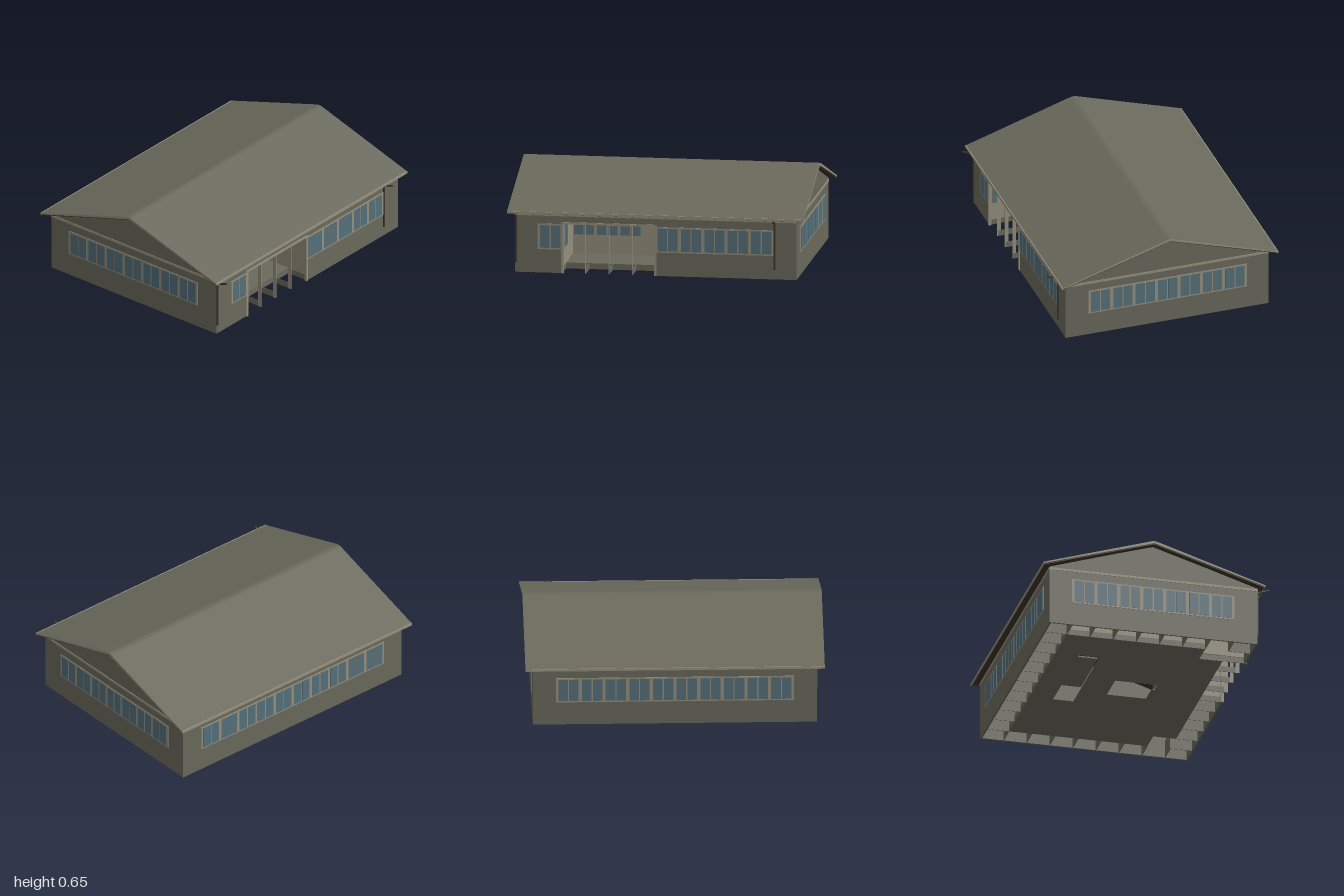
import * as THREE from 'three';

const mat = (name, color) => {
  const m = new THREE.MeshStandardMaterial({ color });
  m.name = name;
  return m;
};

export function createModel() {
  const wall = mat('olive wall', 0x6a695c);
  const trim = mat('beige trim', 0x958f7c);
  const glass = mat('blue grey glass', 0x56707a);
  const brown = mat('dark brown', 0x3d3426);

  const model = new THREE.Group();
  model.name = 'building';
  const M = 0.158; // frame spacing
  const XW = 0.95, ZF = 0.7, ZB = -0.73;

  const add = (name, geometry, material, parent = model) => {
    const mesh = new THREE.Mesh(geometry, material);
    mesh.name = name;
    parent.add(mesh);
    return mesh;
  };
  // Box given by its limits on each axis
  const box = (name, material, [x0, x1], [y0, y1], [z0, z1], parent) => {
    const mesh = add(name, new THREE.BoxGeometry(x1 - x0, y1 - y0, z1 - z0), material, parent);
    mesh.position.set((x0 + x1) / 2, (y0 + y1) / 2, (z0 + z1) / 2);
    return mesh;
  };
  const vec = (pts) => pts.map(([a, b]) => new THREE.Vector2(a, b));

  // Cross-section of (z, y) points extruded along x
  const alongX = (name, pts, x0, x1, materials) => {
    const g = new THREE.ExtrudeGeometry(new THREE.Shape(vec(pts.map(([z, y]) => [-z, y]))),
      { depth: x1 - x0, bevelEnabled: false });
    g.rotateY(Math.PI / 2).translate(x0, 0, 0);
    return add(name, g, materials);
  };
  // Plan of (x, z) points extruded upwards
  const upward = (name, pts, holes, y0, y1, materials) => {
    const flip = (list) => vec(list.map(([x, z]) => [x, -z]));
    const shape = new THREE.Shape(flip(pts));
    holes.forEach((h) => shape.holes.push(new THREE.Path(flip(h))));
    const g = new THREE.ExtrudeGeometry(shape, { depth: y1 - y0, bevelEnabled: false });
    g.rotateX(-Math.PI / 2).translate(0, y0, 0);
    return add(name, g, materials);
  };

  // Gable end walls
  const gable = [[ZF, 0], [ZF, 0.41], [-0.02, 0.637], [ZB, 0.41], [ZB, 0]];
  alongX('rightGableWall', gable, -XW, -XW + 0.012, wall);
  alongX('leftGableWall', gable, XW - 0.012, XW, wall);

  // Long walls, the front one open at the porch
  box('backWall', wall, [-XW, XW], [0, 0.41], [ZB, ZB + 0.012]);
  const frontZ = [ZF - 0.012, ZF];
  box('frontWallRightPart', wall, [-XW, -0.635], [0, 0.41], frontZ);
  box('frontWallLeftPart', wall, [0, XW], [0, 0.41], frontZ);
  box('porchLintel', wall, [-0.635, 0], [0.345, 0.41], frontZ);

  // Trim band at the wall head
  box('frontTrimBand', trim, [-XW, XW], [0.388, 0.404], [ZF, ZF + 0.005]);
  box('backTrimBand', trim, [-XW, XW], [0.388, 0.404], [ZB - 0.005, ZB]);
  for (const s of [-1, 1]) {
    const x = s * XW;
    box('gableTrimBand', trim, [Math.min(x, x + s * 0.004), Math.max(x, x + s * 0.004)],
      [0.388, 0.404], [ZB, ZF]);
  }

  // Roof slab with pale rake edges and a dark underside
  alongX('roof', [[0.74, 0.408], [0.74, 0.418], [0, 0.652], [-0.02, 0.655], [-0.04, 0.652],
    [-0.78, 0.418], [-0.78, 0.408], [-0.02, 0.64]], -1, 1, [trim, wall]);
  alongX('roofUnderside', [[0.735, 0.402], [0.735, 0.407], [-0.02, 0.639], [-0.775, 0.407],
    [-0.775, 0.402], [-0.02, 0.634]], -0.995, 0.995, brown);
  box('frontFascia', trim, [-1, 1], [0.404, 0.42], [0.736, 0.743]);
  box('backFascia', trim, [-1, 1], [0.404, 0.42], [-0.783, -0.776]);

  // Row of two-pane windows in a pale frame, facing +z before it is turned
  const windowRow = (name, count, x, z, turn, cy = 0.247) => {
    const row = new THREE.Group();
    row.name = name;
    const w = count * M;
    box('windowFrame', trim, [-w / 2 - 0.006, w / 2 + 0.006], [-0.087, 0.087], [-0.001, 0.004], row);
    for (let i = 0; i < count; i++) {
      const c = -w / 2 + (i + 0.5) * M;
      for (const s of [-1, 1]) {
        box('windowPane', glass, [c + s * 0.036 - 0.032, c + s * 0.036 + 0.032],
          [-0.077, 0.077], [0.001, 0.006], row);
      }
    }
    row.position.set(x, cy, z);
    row.rotation.y = turn;
    model.add(row);
  };
  windowRow('frontWindowsRight', 1, -0.713, ZF, 0);
  windowRow('frontWindowsLeft', 5, 0.396, ZF, 0);
  windowRow('backWindows', 10, 0, ZB, Math.PI);
  windowRow('leftWindows', 7, XW, -0.018, Math.PI / 2);
  windowRow('rightWindows', 7, -XW, -0.018, -Math.PI / 2);

  // Floor slab inset by one module, with notched front corners and two shafts
  const X1 = 0.79, X2 = 0.632, Z1 = 0.54, Z2 = 0.382, ZR = -0.572;
  const shaft = [[-0.16, -0.08], [0.15, -0.08], [0.15, 0.21], [-0.16, 0.21]];
  const corridor = [[-0.49, -0.41], [0.31, -0.41], [0.31, -0.25], [-0.49, -0.25]];
  upward('floorSlab', [[-X1, ZR], [X1, ZR], [X1, Z2], [X2, Z2], [X2, Z1], [-X2, Z1], [-X2, Z2], [-X1, Z2]],
    [shaft, corridor], 0, 0.04, [wall, wall]);
  // Inner rooms around the recessed porch
  const porchBack = 0.22;
  upward('innerRooms', [[-X1, ZR], [X1, ZR], [X1, Z2], [X2, Z2], [X2, Z1], [0, Z1], [0, porchBack],
    [-X2, porchBack], [-X2, Z2], [-X1, Z2]], [shaft, corridor], 0.04, 0.39, [wall, trim]);
  box('corridorCeiling', wall, [-0.36, 0.1], [0.05, 0.06], [-0.41, -0.25]);

  // Porch: rear windows, door, side walls and opening frame
  windowRow('porchWindows', 3, -0.4, porchBack, 0);
  box('porchDoor', trim, [-0.158, -0.012], [0.04, 0.335], [porchBack, porchBack + 0.009]);
  windowRow('porchSideWindow', 1, -0.625, 0.61, Math.PI / 2);
  box('porchSideWall', trim, [0, 0.008], [0.04, 0.39], [Z1, ZF - 0.012]);
  box('porchSideWall', trim, [-0.64, -0.628], [0.04, 0.39], [Z2, ZF - 0.012]);
  box('porchCeiling', wall, [-0.635, 0], [0.375, 0.385], [porchBack, ZF - 0.012]);
  const frameZ = [ZF - 0.014, ZF + 0.006];
  box('porchFrameSide', trim, [-0.64, -0.622], [0, 0.345], frameZ);
  box('porchFrameSide', trim, [-0.012, 0.004], [0, 0.345], frameZ);
  box('porchFrameTop', trim, [-0.64, 0.004], [0.333, 0.348], frameZ);
  for (let i = 1; i < 4; i++) {
    const x = -0.635 + i * M;
    box('porchPost', trim, [x - 0.002, x + 0.002], [0, 0.345], [ZF - 0.03, ZF - 0.004]);
  }

  // Thin joists across the open strip around the floor, low under the porch
  for (let i = 1; i < 12; i++) {
    const x = -XW + i * XW / 6;
    const inPorch = x > -0.64 && x < 0;
    box('frontJoist', wall, [x - 0.002, x + 0.002], [0, inPorch ? 0.04 : 0.12], [Z1, ZF - 0.012]);
    box('backJoist', wall, [x - 0.002, x + 0.002], [0, 0.12], [ZB + 0.012, ZR]);
  }
  for (let i = 1; i < 9; i++) {
    const z = ZB + i * (ZF - ZB) / 9;
    for (const s of [-1, 1]) {
      const xs = s > 0 ? [X1, XW - 0.012] : [-XW + 0.012, -X1];
      box('sideJoist', wall, xs, [0, 0.12], [z - 0.002, z + 0.002]);
    }
  }

  // Downpipes with a sloping arm to the eave
  for (const x of [-0.944, 0.802]) {
    const pipe = new THREE.Group();
    pipe.name = 'downpipe';
    box('pipe', brown, [-0.005, 0.005], [0.066, 0.385], [ZF, ZF + 0.009], pipe);
    const arm = box('pipeArm', brown, [-0.005, 0.005], [-0.004, 0.004], [-0.043, 0.043], pipe);
    arm.position.set(0, 0.394, 0.742);
    arm.rotation.x = -0.33;
    pipe.position.x = x;
    model.add(pipe);
  }

  return model;
}
